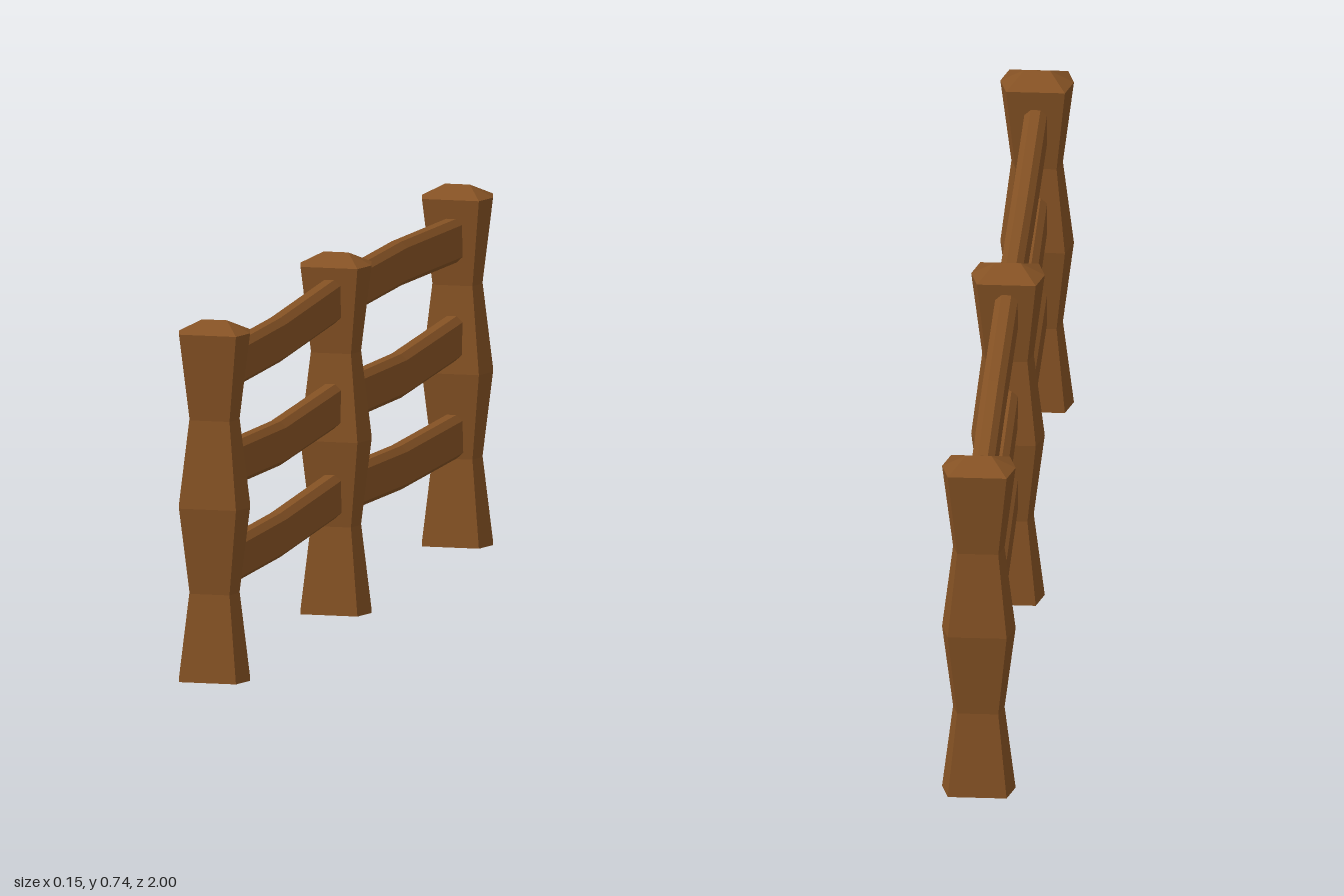
import * as THREE from 'three';

// Flat-sided solid through rings of points, counterclockwise seen from the last ring
function loft(rings) {
  const pos = [];
  const tri = (a, b, c) => pos.push(...a, ...b, ...c);
  const n = rings[0].length;
  for (let r = 0; r < rings.length - 1; r++) {
    const a = rings[r], b = rings[r + 1];
    for (let i = 0; i < n; i++) {
      const j = (i + 1) % n;
      tri(a[i], a[j], b[j]);
      tri(a[i], b[j], b[i]);
    }
  }
  const first = rings[0], last = rings[rings.length - 1];
  for (let i = 1; i < n - 1; i++) {
    tri(first[0], first[i + 1], first[i]);
    tri(last[0], last[i], last[i + 1]);
  }
  const geo = new THREE.BufferGeometry();
  geo.setAttribute('position', new THREE.Float32BufferAttribute(pos, 3));
  geo.computeVertexNormals();
  return geo;
}

export function createModel() {
  const fence = new THREE.Group();
  fence.name = 'fence';
  const wood = new THREE.MeshStandardMaterial({ color: 0x855224 });
  wood.name = 'brown wood';

  // Six-sided post, pinched twice, with a ridged top
  const hexagon = [[0.075, 0], [0.06, -0.055], [-0.06, -0.055], [-0.075, 0], [-0.06, 0.055], [0.06, 0.055]];
  const levels = [[0, 1], [0.18, 0.7], [0.357, 1], [0.537, 0.7], [0.715, 1]];
  const postRings = levels.map(([y, s]) => hexagon.map(([x, z]) => [x * s, y, z * s]));
  postRings.push(hexagon.map(([x]) => [Math.sign(x) * 0.026, 0.74, 0]));
  const postGeo = loft(postRings);
  for (const [name, z] of [['frontPost', 0.945], ['middlePost', 0], ['backPost', -0.945]]) {
    const post = new THREE.Mesh(postGeo, wood);
    post.name = name;
    post.position.z = z;
    fence.add(post);
  }

  // Chamfered rails, each bent once halfway; heights run from back to front
  const section = [[0.023, -0.033], [0.023, 0.033], [0.01, 0.045], [-0.01, 0.045],
    [-0.023, 0.033], [-0.023, -0.033], [-0.01, -0.045], [0.01, -0.045]];
  const rails = {
    backTopRail: [-0.94, [0.629, 0.647, 0.647]],
    backMiddleRail: [-0.94, [0.431, 0.416, 0.431]],
    backBottomRail: [-0.94, [0.227, 0.227, 0.245]],
    frontTopRail: [0, [0.647, 0.629, 0.629]],
    frontMiddleRail: [0, [0.431, 0.416, 0.431]],
    frontBottomRail: [0, [0.245, 0.227, 0.227]],
  };
  for (const [name, [start, heights]] of Object.entries(rails)) {
    const rings = heights.map((h, i) => section.map(([x, y]) => [x, h + y, start + i * 0.47]));
    const rail = new THREE.Mesh(loft(rings), wood);
    rail.name = name;
    fence.add(rail);
  }
  return fence;
}
